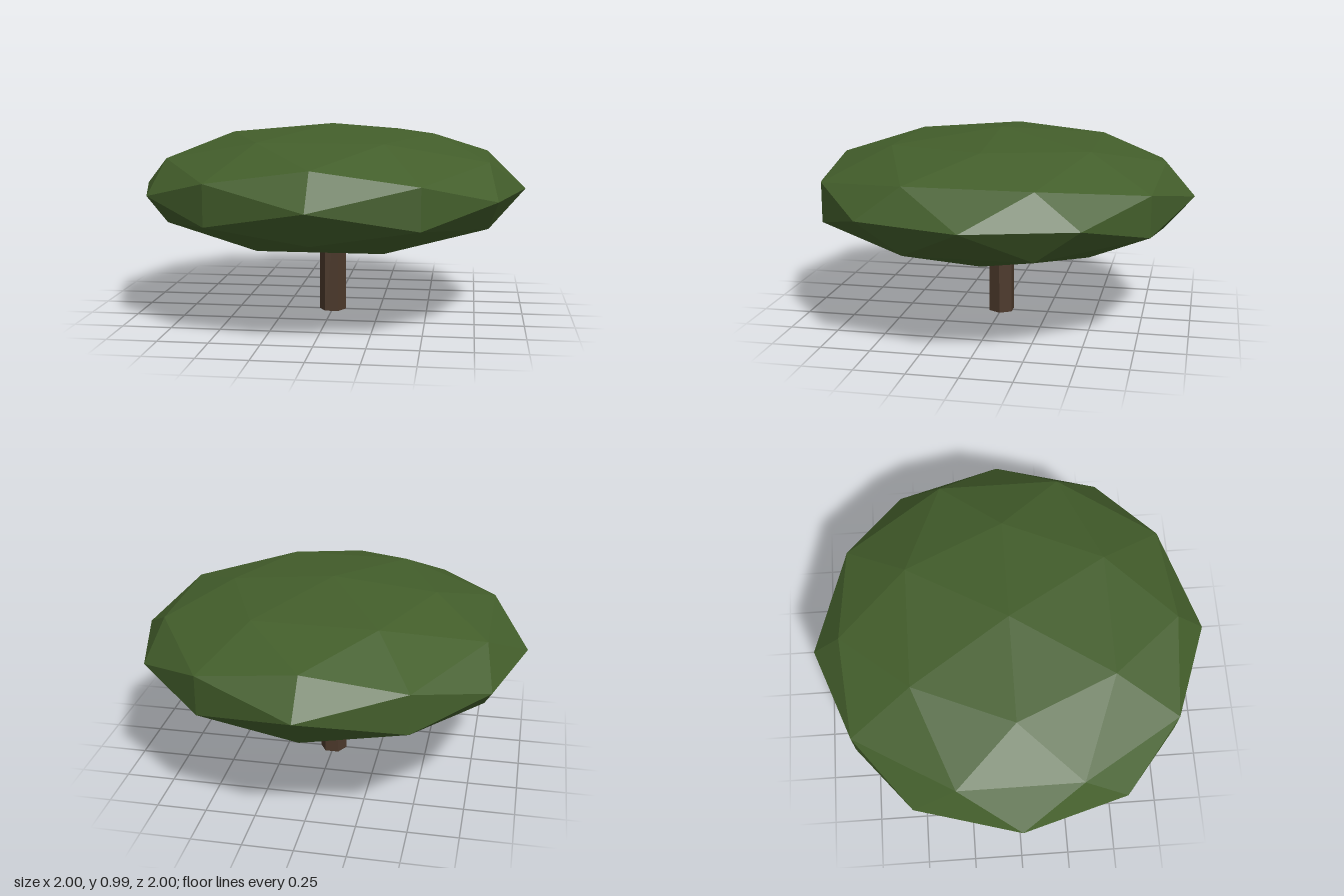
import * as THREE from 'three';

export function createModel() {
  const model = new THREE.Group();
  model.name = 'tree';

  const leafGreen = new THREE.MeshStandardMaterial({ color: 0x435e2b, flatShading: true });
  leafGreen.name = 'leaf green';
  const barkBrown = new THREE.MeshStandardMaterial({ color: 0x4c392b, flatShading: true });
  barkBrown.name = 'bark brown';

  // Six-sided trunk with corners on the x axis, running up into the crown
  const trunkHeight = 0.6;
  const trunk = new THREE.Mesh(new THREE.CylinderGeometry(0.07, 0.07, trunkHeight, 6), barkBrown);
  trunk.name = 'trunk';
  trunk.rotation.y = Math.PI / 6;
  trunk.position.y = trunkHeight / 2;
  model.add(trunk);

  // Faceted crown: a once-divided icosahedron flattened into a broad canopy
  const crownGeometry = new THREE.IcosahedronGeometry(1, 1);
  crownGeometry.scale(1, 0.327, 1);
  crownGeometry.computeVertexNormals();
  const crown = new THREE.Mesh(crownGeometry, leafGreen);
  crown.name = 'crown';
  crown.position.y = 0.665;
  model.add(crown);

  return model;
}
